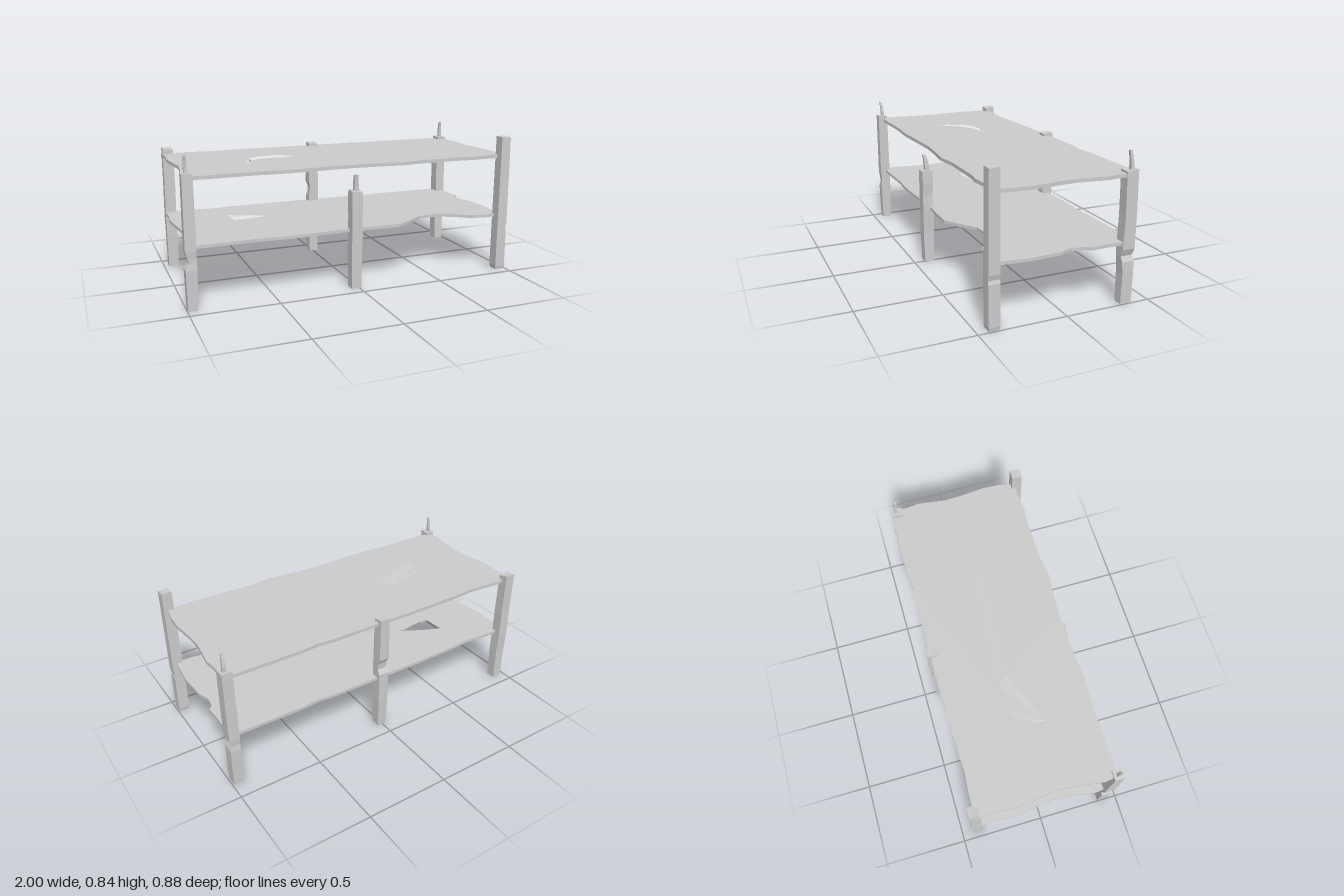
import * as THREE from 'three';

const grey = new THREE.MeshStandardMaterial({ color: 0xcccccc, flatShading: true });
const greyThin = new THREE.MeshStandardMaterial({ color: 0xcccccc, flatShading: true, side: THREE.DoubleSide });

function meshFromTriangles(name, pos, material = grey) {
  const g = new THREE.BufferGeometry();
  g.setAttribute('position', new THREE.Float32BufferAttribute(pos, 3));
  g.computeVertexNormals();
  const m = new THREE.Mesh(g, material);
  m.name = name;
  return m;
}

// Four-sided post through levels [y, x0, x1, z0, z1, topTilt]
function post(name, levels) {
  const rings = levels.map(([y, x0, x1, z0, z1, tilt = 0]) => [
    [x0, y, z0], [x0, y - tilt * 0.4, z1], [x1, y - tilt, z1], [x1, y, z0],
  ]);
  const pos = [];
  const tri = (a, b, c) => pos.push(...a, ...b, ...c);
  for (let r = 0; r < rings.length - 1; r++) {
    const a = rings[r], b = rings[r + 1];
    for (let i = 0; i < 4; i++) {
      const j = (i + 1) % 4;
      tri(a[i], a[j], b[j]);
      tri(a[i], b[j], b[i]);
    }
  }
  const bot = rings[0], top = rings[rings.length - 1];
  tri(top[0], top[1], top[2]);
  tri(top[0], top[2], top[3]);
  tri(bot[0], bot[2], bot[1]);
  tri(bot[0], bot[3], bot[2]);
  return meshFromTriangles(name, pos);
}

// Leg from a footprint, its height, and worn levels [y, left, right, back, front] (inward cuts)
function leg(name, [x0, x1, z0, z1], height, wear, tilt = 0) {
  const rows = [[0, 0.004, 0.004, 0.004, 0.004], ...wear, [height, 0.002, 0.002, 0.002, 0.002]];
  return post(name, rows.map(([y, l, r, b, f], i) =>
    [y, x0 + l, x1 - r, z0 + b, z1 - f, i === rows.length - 1 ? tilt : 0]));
}

// Bent splinter left standing on a broken leg
function splinter(name, x, z, y, h, w) {
  return post(name, [[0, 0, 1], [0.35, 0, 1], [0.75, 0.005, 0.85], [1, 0.011, 0.7]].map(([t, s, k]) =>
    [y + t * h, x - w * k / 2 - s * 0.3, x + w * k / 2 - s * 0.3, z - w * k / 2 + s, z + w * k / 2 + s]));
}

// Flat board from an outline of [x, z] points, with optional holes
function board(name, outline, y, thickness, holes = []) {
  const toV = ([x, z]) => new THREE.Vector2(x, -z);
  const shape = new THREE.Shape(outline.map(toV));
  holes.forEach((h) => shape.holes.push(new THREE.Path(h.map(toV))));
  const g = new THREE.ExtrudeGeometry(shape, { depth: thickness, bevelEnabled: false });
  g.rotateX(-Math.PI / 2);
  g.translate(0, y, 0);
  const m = new THREE.Mesh(g, grey);
  m.name = name;
  return m;
}

export function createModel() {
  const model = new THREE.Group();
  model.name = 'brokenTable';

  // Ragged board edges
  const backEdge = [[-0.98, -0.40], [-0.83, -0.40], [-0.67, -0.385], [-0.55, -0.395], [-0.3, -0.40],
    [0, -0.40], [0.33, -0.40], [0.43, -0.39], [0.53, -0.40], [0.97, -0.40]];
  const rightEdge = [[0.995, -0.395], [0.985, -0.29], [0.995, -0.22], [0.972, -0.05], [0.975, 0.05],
    [0.99, 0.2], [0.985, 0.3], [0.965, 0.4]];
  const leftEdge = [[-0.975, 0.4], [-0.985, 0.33], [-0.965, 0.2], [-0.952, 0.07], [-0.97, -0.07],
    [-0.98, -0.18], [-0.97, -0.3]];
  const frontEdge = [[0.85, 0.405], [0.77, 0.412], [0.68, 0.402], [0.42, 0.402], [0.28, 0.42], [0.15, 0.405],
    [0, 0.395], [-0.15, 0.4], [-0.4, 0.412], [-0.6, 0.402], [-0.88, 0.408]];

  // Upper board with a sunken chip
  const chip = [[-0.565, 0.125], [-0.56, 0.06], [-0.525, 0.02], [-0.52, -0.03], [-0.45, -0.07],
    [-0.36, -0.085], [-0.3, -0.07], [-0.245, -0.01]];
  const yLow = 0.705, thick = 0.02;
  model.add(board('upperBoard', [...backEdge, ...rightEdge, ...frontEdge, ...leftEdge], yLow, thick, [chip]));
  model.add(board('chipUnderside', chip, yLow, 0.003));
  const floor = [];
  const last = chip.length - 1;
  const chipPoint = (i) => [chip[i][0], i === 0 || i === last ? yLow + thick : yLow + 0.005, chip[i][1]];
  for (let i = 1; i < last; i++) floor.push(...chipPoint(0), ...chipPoint(i + 1), ...chipPoint(i));
  model.add(meshFromTriangles('chipFloor', floor, greyThin));

  // Lower board with a broken front edge, a bitten right edge and a hole
  const brokenFront = [[0.86, 0.4], [0.78, 0.385], [0.7, 0.33], [0.6, 0.27], [0.47, 0.28], [0.37, 0.35],
    [0.28, 0.405], ...frontEdge.slice(5)];
  const bittenRight = [[0.99, -0.395], [0.98, -0.25], [0.985, -0.14], [0.96, -0.11], [0.95, -0.04],
    [0.975, 0.03], [0.985, 0.2], [0.965, 0.4]];
  const hole = [[-0.62, -0.04], [-0.63, -0.18], [-0.51, -0.13], [-0.36, -0.04], [-0.42, -0.065], [-0.5, -0.05]];
  model.add(board('lowerBoard', [...backEdge, ...bittenRight, ...brokenFront, ...leftEdge], 0.335, 0.018, [hole]));

  // Legs
  model.add(
    leg('frontLeftLeg', [0.93, 0.995, 0.378, 0.442], 0.838,
      [[0.02, 0, 0, 0, 0], [0.25, 0, 0.002, 0, 0], [0.27, 0, 0.008, 0, 0], [0.3, 0, 0, 0, 0]], 0.004),
    leg('frontRightLeg', [-1, -0.938, 0.378, 0.442], 0.742,
      [[0.23, 0, 0, 0, 0], [0.26, 0.02, 0, 0, 0.004], [0.29, 0.012, 0, 0, 0.004], [0.33, 0.001, 0, 0, 0]], -0.006),
    leg('frontMiddleLeg', [-0.052, 0.016, 0.375, 0.44], 0.582,
      [[0.18, 0, 0.006, 0, 0], [0.34, 0.002, 0, 0, 0], [0.43, 0.001, 0.004, 0.006, 0], [0.5, 0, 0, 0, 0]], 0.008),
    leg('backLeftLeg', [0.932, 0.995, -0.4, -0.326], 0.742,
      [[0.17, 0, 0.002, 0, 0.006], [0.24, 0, 0.004, 0, 0.002], [0.27, 0, 0.018, 0.004, 0],
        [0.31, 0, 0.002, 0, 0], [0.5, 0, 0, 0, 0.006]], 0.006),
    leg('backRightLeg', [-0.975, -0.908, -0.436, -0.372], 0.76,
      [[0.2, 0.002, 0, 0.003, 0], [0.33, 0, 0.002, 0, 0], [0.5, 0.002, 0, 0.003, 0]], 0.012),
    leg('backMiddleLeg', [-0.026, 0.038, -0.422, -0.358], 0.745,
      [[0.2, 0, 0, 0, 0], [0.38, 0, 0, 0, 0], [0.41, 0.004, 0, 0.018, 0], [0.45, 0.008, 0, 0.014, 0],
        [0.48, 0, 0, 0, 0]], 0.006),
  );

  // Splinters
  model.add(
    splinter('frontRightSplinter', -0.972, 0.405, 0.735, 0.105, 0.018),
    splinter('backLeftSplinter', 0.967, -0.369, 0.735, 0.107, 0.019),
    splinter('frontMiddleSplinter', -0.016, 0.405, 0.57, 0.1, 0.026),
  );
  return model;
}
